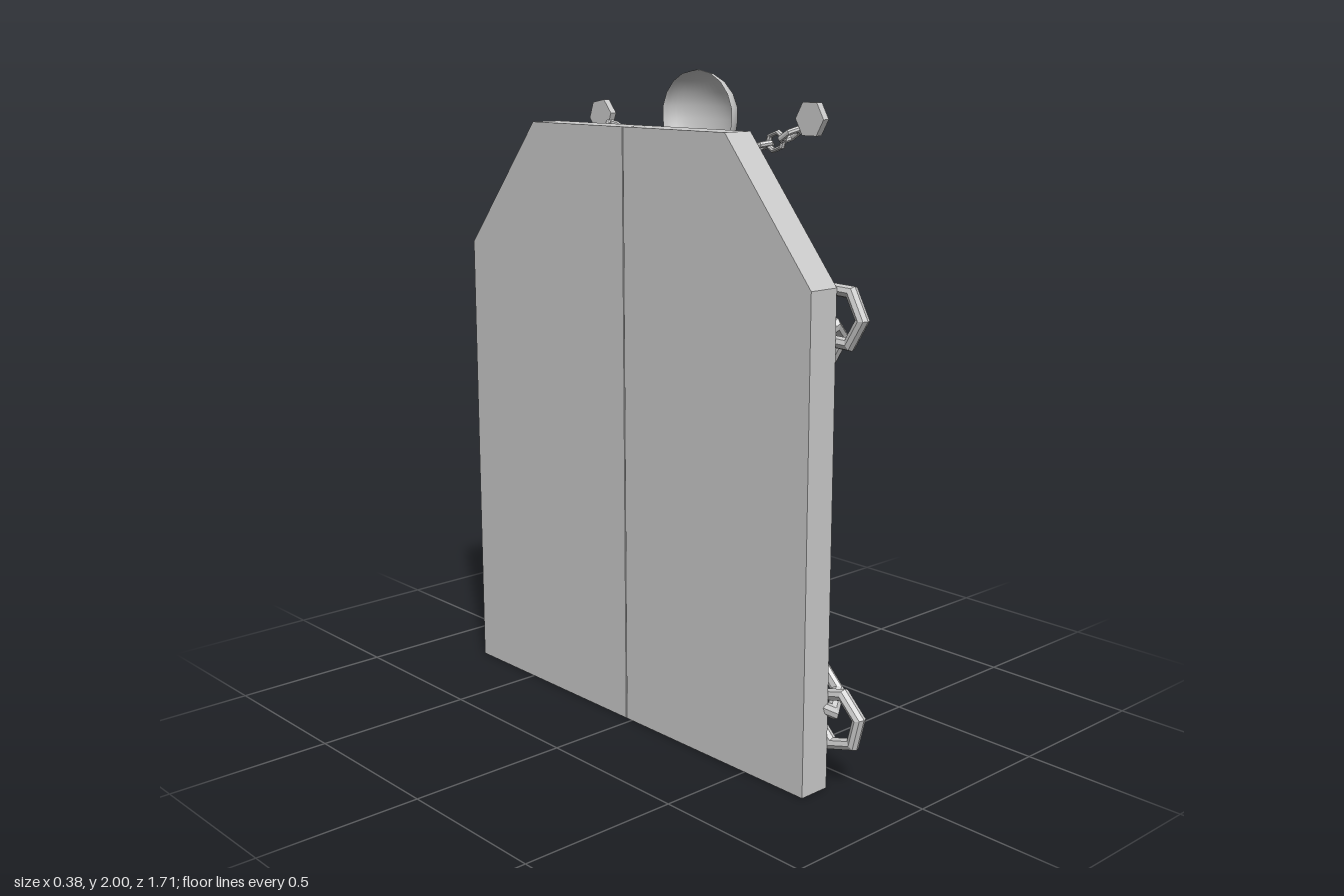
import * as THREE from 'three';
import { ConvexGeometry } from 'three/addons/geometries/ConvexGeometry.js';

const flat = new THREE.MeshStandardMaterial({ color: 0xcccccc, flatShading: true, side: THREE.DoubleSide });
const smooth = new THREE.MeshStandardMaterial({ color: 0xcccccc, side: THREE.DoubleSide });
const V2 = ([x, y]) => new THREE.Vector2(x, y);
const V3 = (x, y, z) => new THREE.Vector3(x, y, z);

function add(parent, name, geometry, material = flat) {
  const mesh = new THREE.Mesh(geometry, material);
  mesh.name = name;
  parent.add(mesh);
  return mesh;
}

// Extruded slab between two depths
function slab(shape, z0, z1) {
  return new THREE.ExtrudeGeometry(shape, { depth: z1 - z0, bevelEnabled: false }).translate(0, 0, z0);
}

// Drops the faces that lie on the floor, leaving the underside open
function openBottom(geometry) {
  const p = geometry.toNonIndexed().attributes.position;
  const kept = [];
  for (let i = 0; i < p.count; i += 3) {
    if (Math.max(p.getY(i), p.getY(i + 1), p.getY(i + 2)) < 1e-4) continue;
    for (let k = i; k < i + 3; k++) kept.push(p.getX(k), p.getY(k), p.getZ(k));
  }
  const out = new THREE.BufferGeometry();
  out.setAttribute('position', new THREE.Float32BufferAttribute(kept, 3));
  out.computeVertexNormals();
  return out;
}

// Six-cornered chain link, flat or turned edge-on
function link(parent, x, y, z, angle, edgeOn, radius, tube, long, wide) {
  const g = new THREE.TorusGeometry(radius, tube, 8, 6).scale(long, wide, 1);
  if (edgeOn) g.rotateX(Math.PI / 2);
  g.rotateZ(angle);
  add(parent, 'chainLink', g).position.set(x, y, z);
}

function doors(root) {
  const c = 0.025, gap = 0.002;
  for (const s of [-1, 1]) {
    const pts = [[gap, 0], [0.755, 0], [0.755, 1.44], [0.425, 1.84], [gap, 1.84]];
    const shape = new THREE.Shape(pts.map(([x, y]) => V2([c + s * x, y])));
    add(root, s < 0 ? 'leftDoorLeaf' : 'rightDoorLeaf', openBottom(slab(shape, -0.2, -0.1)));
  }
}

function medallion(root) {
  const group = new THREE.Group();
  group.name = 'medallion';
  group.position.x = 0.016;
  root.add(group);
  const back = -0.1, front = -0.025;

  // Half outline from top centre down to the bottom spike, without spike tips
  const half = [[0.075, 1.114], [0.125, 1.18], [0.14, 1.21], [0.25, 1.2], [0.255, 1.12], [0.25, 1.04],
    [0.305, 0.995], [0.312, 1.07], [0.352, 1.06], [0.335, 0.97], [0.385, 0.8], [0.36, 0.64],
    [0.352, 0.5], [0.295, 0.505], [0.252, 0.583], [0.16, 0.525], [0.08, 0.525], [0.055, 0.46], [0.028, 0.4]];
  const mirrored = half.map(([x, y]) => [-x, y]).reverse();
  const shape = new THREE.Shape([...half, ...mirrored].map(V2));

  // Crescent openings on both sides of the pupil
  const cy = 0.806, n = 8;
  for (const s of [-1, 1]) {
    const pts = [];
    for (let i = 0; i <= n; i++) {
      const a = Math.PI / 2 - Math.PI * i / n;
      const top = i === 0 || i === n;
      pts.push([s * (top ? 0.004 : 0.241 * Math.cos(a)), cy + 0.158 * Math.sin(a)]);
    }
    for (let i = n - 1; i > 0; i--) {
      const a = Math.PI / 2 - Math.PI * i / n;
      pts.push([s * 0.167 * Math.cos(a), cy + 0.158 * Math.sin(a)]);
    }
    shape.holes.push(new THREE.Path(pts.map(V2)));
  }
  add(group, 'medallionBody', slab(shape, back, front));

  // Spike tips sloping back to the door: two base corners and the point
  const tip = ([ax, ay], [bx, by], [tx, ty]) => add(group, 'spikeTip', new ConvexGeometry([
    V3(ax, ay, back), V3(ax, ay, front), V3(bx, by, back), V3(bx, by, front), V3(tx, ty, back), V3(tx, ty, back + 0.01)]));
  for (const s of [-1, 1]) {
    tip([s * 0.14, 1.21], [s * 0.25, 1.2], [s * 0.191, 1.332]);
    tip([s * 0.312, 1.07], [s * 0.352, 1.06], [s * 0.366, 1.156]);
    tip([s * 0.352, 0.5], [s * 0.295, 0.505], [s * 0.345, 0.46]);
  }
  tip([-0.028, 0.4], [0.028, 0.4], [0, 0.318]);
}

// Four heavy chains from the door corners to the medallion
function heavyChains(root) {
  const runs = [[[0.73, 1.36], [0.59, 1.13], [0.417, 0.9]], [[0.757, 0.21], [0.571, 0.39], [0.39, 0.615]]];
  for (const s of [-1, 1]) for (const run of runs) {
    const group = new THREE.Group();
    group.name = 'heavyChain';
    root.add(group);
    const p = run.map(([x, y]) => [0.007 + s * x, y]);
    p.forEach(([x, y], i) => {
      const [a, b] = i < 2 ? [p[i], p[i + 1]] : [p[1], p[2]];
      const angle = Math.atan2(b[1] - a[1], b[0] - a[0]);
      link(group, x, y, -0.08, angle, false, 0.082, 0.02, 1, 1);
      if (i < 2) link(group, (a[0] + b[0]) / 2, (a[1] + b[1]) / 2, -0.08, angle, true, 0.085, 0.02, 1.22, 0.84);
    });
  }
}

// Hollow half skull lofted from rows of [height, half width, depth]
function skull(root) {
  const group = new THREE.Group();
  group.name = 'skull';
  group.position.set(0.022, 0, 0.092);
  root.add(group);
  const rows = [[1.675, 0.066, 0.048], [1.695, 0.07, 0.062], [1.72, 0.073, 0.063], [1.742, 0.09, 0.068],
    [1.765, 0.125, 0.075], [1.8, 0.143, 0.085], [1.85, 0.151, 0.093], [1.89, 0.15, 0.093], [1.93, 0.134, 0.082],
    [1.965, 0.103, 0.062], [1.988, 0.062, 0.038], [2, 0.001, 0.012]];
  const n = 20, pos = [], idx = [];
  rows.forEach(([y, w, d], r) => {
    for (let i = 0; i <= n; i++) {
      const a = Math.PI * i / n;
      pos.push(-w * Math.cos(a), y, d * Math.sin(a));
      if (r && i) {
        const k = r * (n + 1) + i, j = k - n - 1;
        idx.push(j - 1, j, k, j - 1, k, k - 1);
      }
    }
  });
  const g = new THREE.BufferGeometry();
  g.setAttribute('position', new THREE.Float32BufferAttribute(pos, 3));
  g.setIndex(idx);
  g.computeVertexNormals();
  add(group, 'skullShell', g, smooth);
  for (const s of [-1, 1]) {
    add(group, 'fang', new THREE.ConeGeometry(0.017, 0.05, 8).rotateX(Math.PI), smooth).position.set(s * 0.037, 1.676, 0.035);
  }
}

// Light chain holding the skull, ending in six-sided studs
function lightChain(root) {
  const group = new THREE.Group();
  group.name = 'lightChain';
  root.add(group);
  const sides = [
    [[-0.44, 1.868], [-0.36, 1.82], [-0.305, 1.8], [-0.25, 1.785], [-0.193, 1.772], [-0.135, 1.77]],
    [[0.477, 1.85], [0.41, 1.815], [0.35, 1.793], [0.29, 1.78], [0.232, 1.772], [0.175, 1.77]]];
  sides.forEach((pts, side) => {
    pts.forEach(([x, y], i) => {
      if (!i) {
        const stud = new THREE.CylinderGeometry(0.054, 0.054, 0.022, 6).rotateX(Math.PI / 2).rotateZ(side ? 0.35 : Math.PI / 6);
        add(group, 'stud', stud).position.set(x, y, 0.105);
        return;
      }
      const [px, py] = pts[i - 1];
      link(group, x, y, 0.1, Math.atan2(y - py, x - px), i % 2 === 1, 0.032, 0.0095, 1.08, 0.8);
    });
  });
}

export function createModel() {
  const model = new THREE.Group();
  model.name = 'chainedGate';
  // Parts are laid out facing +z, then turned to face +x
  const gate = new THREE.Group();
  gate.name = 'gate';
  gate.rotation.y = Math.PI / 2;
  model.add(gate);
  doors(gate);
  medallion(gate);
  heavyChains(gate);
  skull(gate);
  lightChain(gate);
  return model;
}
